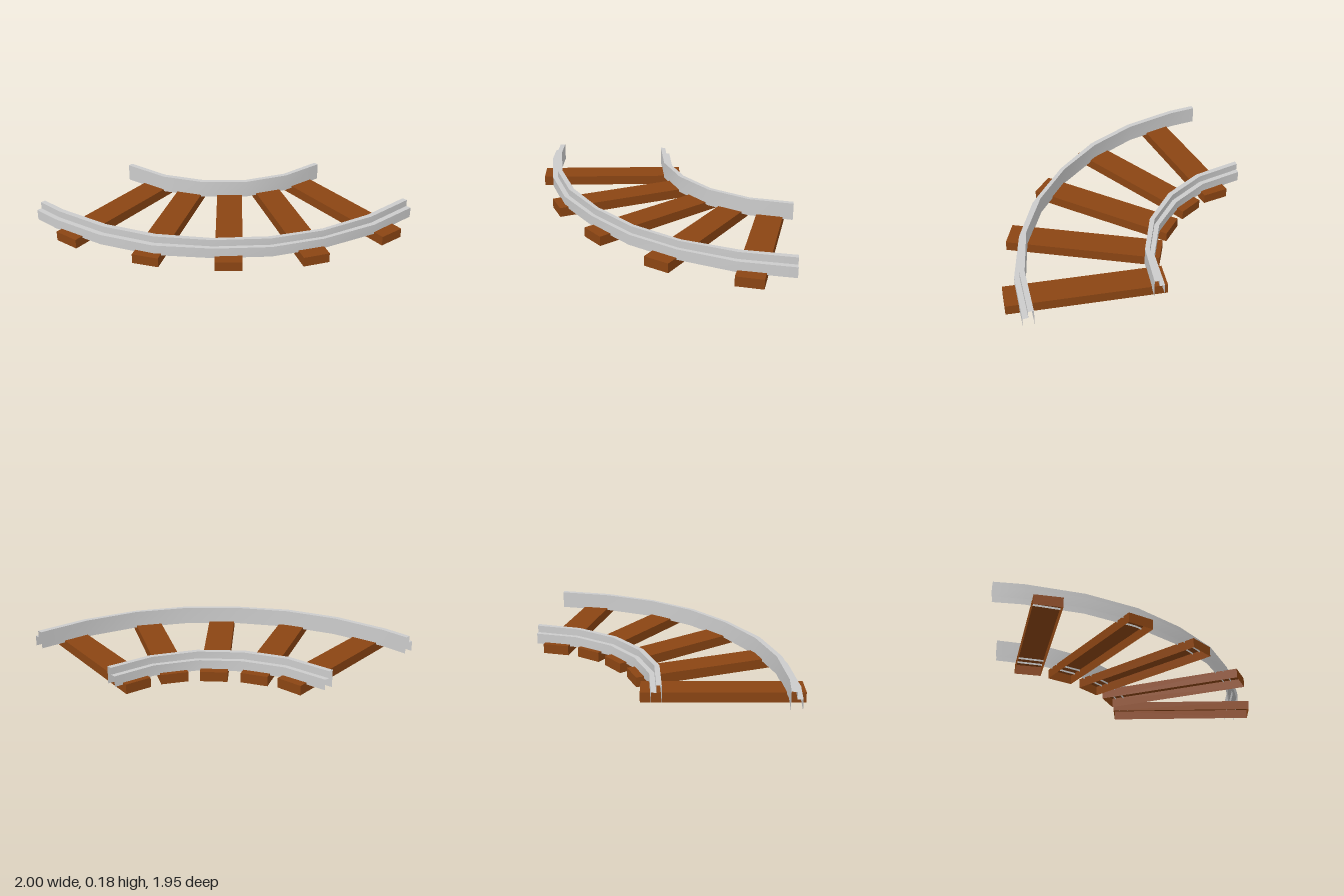
import * as THREE from 'three';

const steel = new THREE.MeshStandardMaterial({ color: 0xcccccc, side: THREE.DoubleSide });
const wood = new THREE.MeshStandardMaterial({ color: 0x8b4513, side: THREE.DoubleSide });

// Stepped rail cross-section: [fraction from tall edge to low edge, height]
const PROFILE = [[0, 0.056], [0, 0.182], [0.5, 0.182], [0.5, 0.132], [1, 0.132], [1, 0.056]];

// Open shell swept between two plan edges; each profile side is its own strip,
// so it is smooth along the curve and sharp across it
function makeRail(name, tall, low) {
  const pos = [], index = [];
  for (let k = 0; k < PROFILE.length - 1; k++) {
    const base = pos.length / 3;
    tall.forEach(([x, z], i) => {
      for (const [t, y] of [PROFILE[k], PROFILE[k + 1]]) {
        pos.push(x + (low[i][0] - x) * t, y, z + (low[i][1] - z) * t);
      }
      if (i > 0) {
        const a = base + 2 * (i - 1);
        index.push(a, a + 1, a + 2, a + 1, a + 3, a + 2);
      }
    });
  }
  const geo = new THREE.BufferGeometry();
  geo.setAttribute('position', new THREE.Float32BufferAttribute(pos, 3));
  geo.setIndex(index);
  geo.computeVertexNormals();
  const mesh = new THREE.Mesh(geo, steel);
  mesh.name = name;
  return mesh;
}

// Hollow sleeper: a box without its underside
function makeSleeperGeometry() {
  const geo = new THREE.BoxGeometry(1.073, 0.07, 0.19);
  const idx = Array.from(geo.index.array);
  idx.splice(18, 6);
  geo.setIndex(idx);
  geo.clearGroups();
  return geo;
}

export function createModel() {
  const track = new THREE.Group();
  track.name = 'curvedTrack';

  // Rails, tall half facing the sleepers' middle, as [x, z] plan edges
  track.add(makeRail('outerRail',
    [[-1, 0.868], [-0.805, 0.858], [-0.414, 0.775], [-0.067, 0.622], [0.248, 0.392],
      [0.512, 0.104], [0.704, -0.227], [0.815, -0.607], [0.853, -0.98]],
    [[-1, 0.943], [-0.795, 0.932], [-0.4, 0.849], [-0.032, 0.688], [0.292, 0.43],
      [0.565, 0.136], [0.752, -0.2], [0.886, -0.595], [0.929, -0.98]]));
  track.add(makeRail('innerRail',
    [[-1, 0.067], [-0.66, 0.009], [-0.38, -0.136], [-0.147, -0.366], [0, -0.66], [0.053, -0.98]].reverse(),
    [[-1, -0.003], [-0.687, -0.056], [-0.42, -0.195], [-0.206, -0.398], [-0.062, -0.68], [-0.02, -0.98]].reverse()));

  // Sleepers: centre x, centre z, direction x, direction z
  const sleeperGeo = makeSleeperGeometry();
  [
    [-0.709, 0.428, 24, 199],
    [-0.289, 0.278, 93, 178],
    [0.051, 0.021, 138, 145],
    [0.32, -0.323, 177, 94],
    [0.452, -0.754, 199, 28],
  ].forEach(([x, z, dx, dz], i) => {
    const sleeper = new THREE.Mesh(sleeperGeo, wood);
    sleeper.name = `sleeper${i + 1}`;
    sleeper.position.set(x, 0.035, z);
    sleeper.rotation.y = -Math.atan2(dz, dx);
    track.add(sleeper);
  });
  return track;
}
